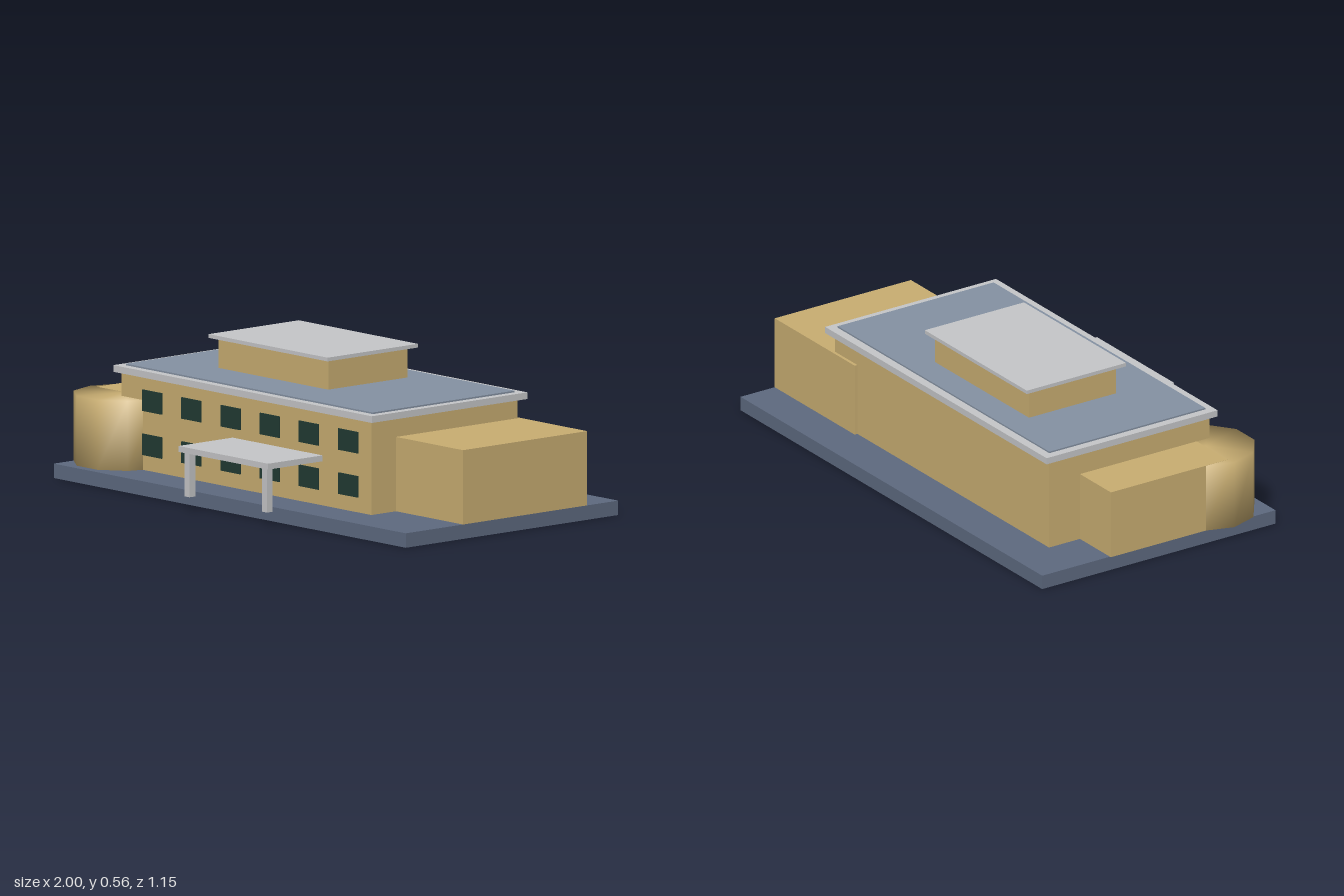
import * as THREE from 'three';
import { mergeVertices } from 'three/addons/utils/BufferGeometryUtils.js';

function material(name, color) {
  const m = new THREE.MeshStandardMaterial({ color });
  m.name = name;
  return m;
}

export function createModel() {
  const tan = material('sandstone', 0xc9ae72);
  const slate = material('slate', 0x5e6a80);
  const grey = material('pale grey', 0xc6c7c9);
  const roofBlue = material('roof blue', 0x8592a3);
  const glass = material('dark glass', 0x213a33);

  const model = new THREE.Group();
  model.name = 'building';

  // Box given by its minimum and maximum along each axis
  function box(name, mat, [x0, x1], [y0, y1], [z0, z1], parent = model) {
    const mesh = new THREE.Mesh(new THREE.BoxGeometry(x1 - x0, y1 - y0, z1 - z0), mat);
    mesh.position.set((x0 + x1) / 2, (y0 + y1) / 2, (z0 + z1) / 2);
    mesh.name = name;
    parent.add(mesh);
    return mesh;
  }

  // Ground slab
  box('baseSlab', slate, [-0.96, 1], [0, 0.054], [-0.575, 0.468]);

  // Main block with its roof
  box('mainBlock', tan, [-0.765, 0.627], [0.054, 0.404], [-0.41, 0.308]);
  box('roofRim', grey, [-0.787, 0.652], [0.404, 0.429], [-0.436, 0.328]);
  box('roofPanel', roofBlue, [-0.755, 0.62], [0.42, 0.435], [-0.402, 0.295]);

  // Upper storey
  box('penthouse', tan, [-0.46, 0.15], [0.43, 0.547], [-0.29, 0.099]);
  box('penthouseRoof', grey, [-0.487, 0.176], [0.547, 0.561], [-0.318, 0.125]);

  // Side wings
  box('leftWing', tan, [0.48, 1], [0.054, 0.332], [-0.422, 0.187]);
  box('rightWing', tan, [-0.966, -0.7], [0.054, 0.3155], [-0.272, 0.25]);

  // Corner tower, with normals blended between wall and top
  const towerShape = new THREE.CylinderGeometry(0.186, 0.186, 0.261, 10, 1, false, Math.PI / 2);
  towerShape.deleteAttribute('normal');
  towerShape.deleteAttribute('uv');
  const towerGeometry = mergeVertices(towerShape);
  towerGeometry.computeVertexNormals();
  const tower = new THREE.Mesh(towerGeometry, tan);
  tower.name = 'cornerTower';
  tower.position.set(-0.814, 0.1845, 0.257);
  model.add(tower);

  // Two rows of front windows
  const windows = new THREE.Group();
  windows.name = 'windows';
  model.add(windows);
  for (const y of [0.15, 0.315]) {
    for (let i = 0; i < 6; i++) {
      const x = -0.59 + i * 0.218;
      box('window', glass, [x - 0.054, x + 0.054], [y - 0.04, y + 0.04], [0.306, 0.313], windows);
    }
  }

  // Entrance canopy on two posts
  const entrance = new THREE.Group();
  entrance.name = 'entrance';
  model.add(entrance);
  box('canopy', grey, [-0.145, 0.355], [0.219, 0.241], [0.3, 0.575], entrance);
  for (const x of [-0.11, 0.32]) {
    box('canopyPost', grey, [x - 0.014, x + 0.014], [0.054, 0.219], [0.535, 0.563], entrance);
  }

  return model;
}
